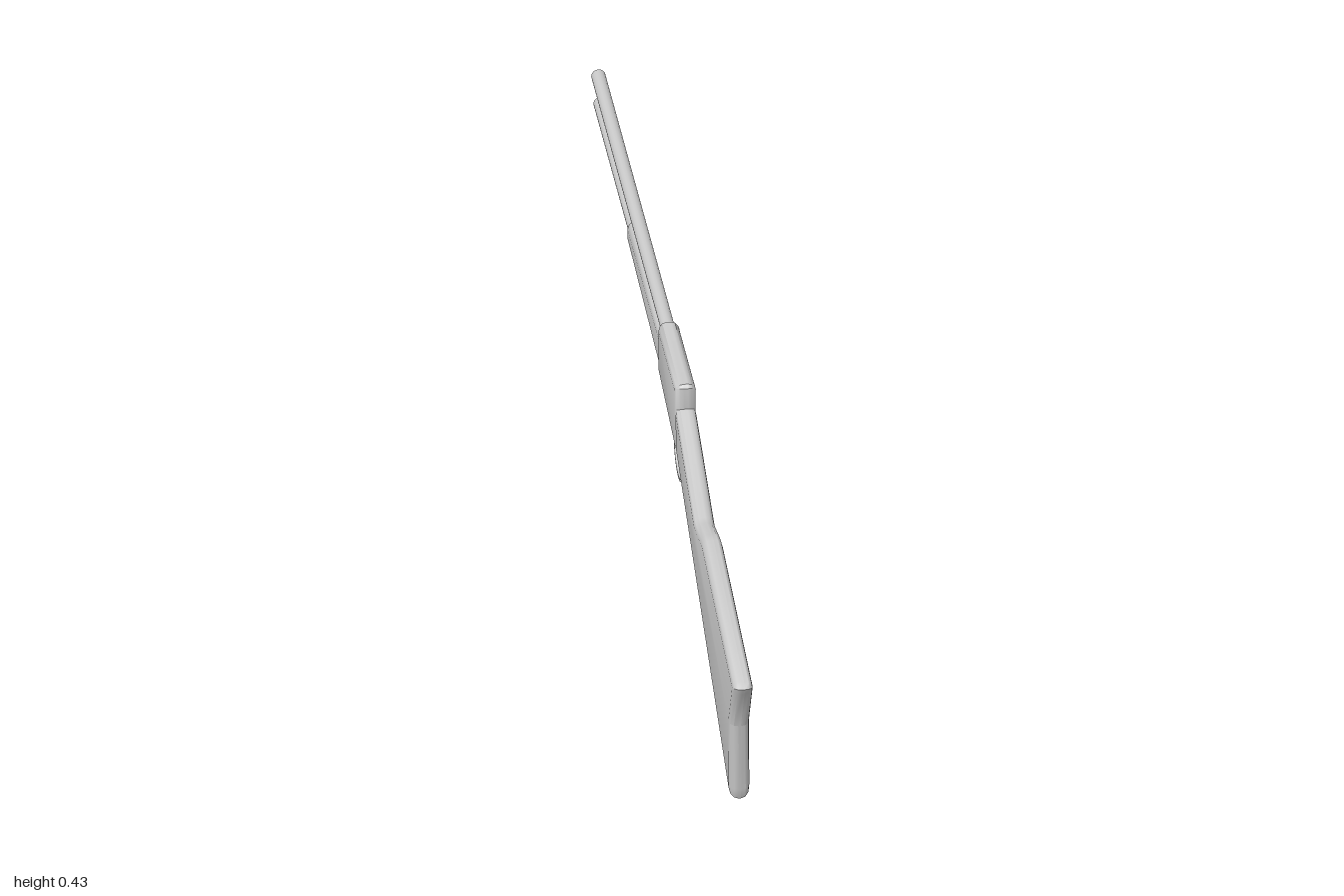
import * as THREE from 'three';
import { toCreasedNormals } from 'three/addons/utils/BufferGeometryUtils.js';

const grey = new THREE.MeshStandardMaterial({ color: 0xcccccc });

export function createModel() {
  const group = new THREE.Group();

  function add(name, geometry) {
    const mesh = new THREE.Mesh(geometry, grey);
    mesh.name = name;
    group.add(mesh);
    return mesh;
  }

  // Side profile of [z, y] points, extruded across x with rounded edges
  function slab(name, points, halfWidth, bevel, segments = 3) {
    const shape = new THREE.Shape(points.map(([z, y]) => new THREE.Vector2(-z, y)));
    const geometry = new THREE.ExtrudeGeometry(shape, {
      depth: 2 * (halfWidth - bevel),
      bevelEnabled: bevel > 0,
      bevelThickness: bevel,
      bevelSize: bevel,
      bevelOffset: -bevel,
      bevelSegments: segments,
    });
    geometry.translate(0, 0, -(halfWidth - bevel));
    geometry.rotateY(Math.PI / 2);
    return add(name, toCreasedNormals(geometry, 0.7));
  }

  // Round bar along z
  function bar(name, radius, y, zBack, zFront) {
    const geometry = new THREE.CylinderGeometry(radius, radius, zBack - zFront, 16);
    geometry.rotateX(Math.PI / 2);
    geometry.translate(0, y, (zBack + zFront) / 2);
    add(name, geometry);
  }

  // Shoulder stock with wrist, comb and hooked butt
  slab('stock', [
    [0.19, 0.39], [0.19, 0.298], [0.925, 0.005], [0.94, 0.003], [0.948, 0.025],
    [0.942, 0.145], [0.992, 0.232], [1, 0.246], [0.985, 0.255],
    [0.57, 0.316], [0.545, 0.315], [0.475, 0.301], [0.455, 0.301],
  ], 0.018, 0.016);

  // Receiver block
  slab('receiver', [
    [0.2, 0.43], [0.206, 0.424], [0.206, 0.304], [0.2, 0.295],
    [-0.035, 0.328], [-0.042, 0.335], [-0.042, 0.424], [-0.036, 0.43],
  ], 0.0185, 0.015);

  // Tapered fore-end
  slab('foreEnd', [
    [-0.02, 0.402], [-0.02, 0.333], [-0.482, 0.353], [-0.489, 0.36],
    [-0.489, 0.39], [-0.482, 0.396],
  ], 0.0155, 0.013);

  // Barrel above, magazine tube below
  bar('barrel', 0.0125, 0.413, 0, -1);
  bar('magazineTube', 0.0125, 0.375, -0.45, -0.97);

  // Trigger guard: a thin flat band bent into a bow
  const bow = [];
  const steps = 20;
  const arc = (rz, ry, t) => [0.175 + rz * Math.cos(t), 0.29 + ry * Math.sin(t)];
  for (let i = 0; i <= steps; i++) bow.push(arc(0.062, 0.054, -3.3 + (i / steps) * 3.5));
  for (let i = steps; i >= 0; i--) bow.push(arc(0.058, 0.05, -3.3 + (i / steps) * 3.5));
  slab('triggerGuard', bow, 0.01, 0);

  // Curved trigger
  slab('trigger', [
    [0.186, 0.315], [0.187, 0.285], [0.181, 0.268], [0.165, 0.254],
    [0.162, 0.257], [0.175, 0.27], [0.179, 0.285], [0.177, 0.315],
  ], 0.005, 0);

  return group;
}
